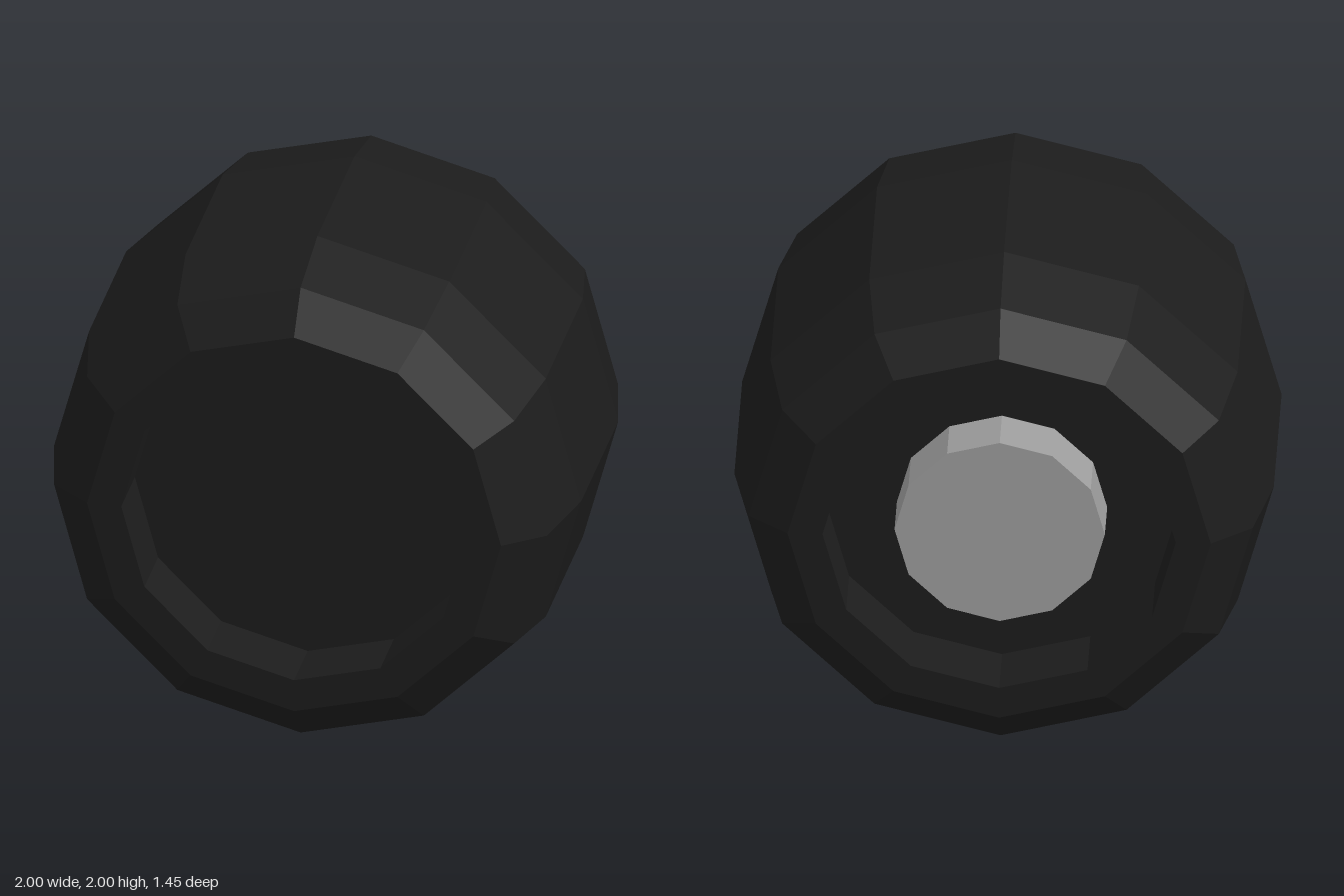
import * as THREE from 'three';

const SIDES = 12;

export function createModel() {
  const model = new THREE.Group();
  model.name = 'wheel';

  const rubber = new THREE.MeshStandardMaterial({ color: 0x1c1c1c, flatShading: true });
  const metal = new THREE.MeshStandardMaterial({ color: 0x9c9c9c, flatShading: true });

  // Tyre: half profile (radius, offset along the axle) from recessed disc to tread, mirrored
  const half = [[0, 0.49], [0.655, 0.49], [0.655, 0.725], [0.785, 0.725], [0.935, 0.61], [1, 0.32]];
  const profile = [
    ...half.map(([r, d]) => new THREE.Vector2(r, -d)),
    ...half.slice().reverse().map(([r, d]) => new THREE.Vector2(r, d)),
  ];
  const tyre = new THREE.Mesh(new THREE.LatheGeometry(profile, SIDES).rotateX(Math.PI / 2), rubber);
  tyre.name = 'tyre';
  tyre.position.y = 1;

  // Hub: stub cylinder standing in the rear recess only
  const hub = new THREE.Mesh(
    new THREE.CylinderGeometry(0.39, 0.39, 0.2, SIDES).rotateX(Math.PI / 2), metal);
  hub.name = 'hub';
  hub.position.set(0, 1, -0.58);

  model.add(tyre, hub);
  return model;
}
